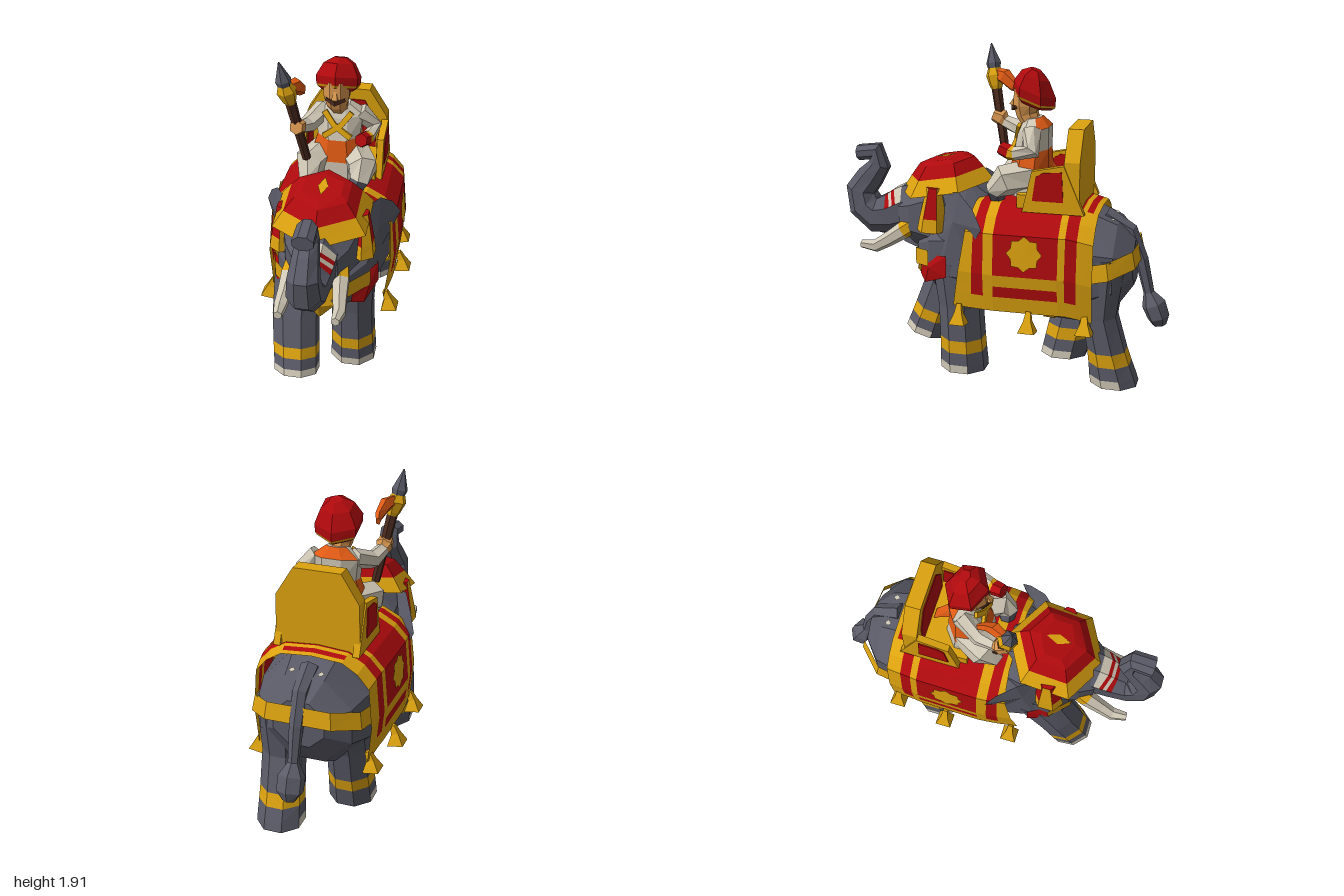
import * as THREE from 'three';

const mat = {};
for (const [name, color] of Object.entries({
  grey: 0x5a5b67, gold: 0xdca20f, red: 0xb00a0d, cream: 0xcfc7b5,
  orange: 0xdf5a14, skin: 0xd7954f, brown: 0x4a2a1e,
})) {
  mat[name] = new THREE.MeshStandardMaterial({ color, side: THREE.DoubleSide });
  mat[name].name = name;
}
const V = (a) => new THREE.Vector3(a[0], a[1], a[2]);

// Collects triangles by colour and makes one faceted mesh.
function facets() {
  const sets = {};
  const tri = (m, ...p) => (sets[m] ??= []).push(...p.flatMap((v) => v.toArray()));
  const quad = (m, a, b, c, d) => { tri(m, a, b, c); tri(m, a, c, d); };
  const mesh = (name) => {
    const g = new THREE.BufferGeometry(), keys = Object.keys(sets);
    let start = 0;
    keys.forEach((k, i) => {
      g.addGroup(start, sets[k].length / 3, i);
      start += sets[k].length / 3;
    });
    g.setAttribute('position', new THREE.Float32BufferAttribute(keys.flatMap((k) => sets[k]), 3));
    g.computeVertexNormals();
    const o = new THREE.Mesh(g, keys.map((k) => mat[k]));
    o.name = name;
    return o;
  };
  return { tri, quad, mesh };
}

// Faceted loft through sections [x, y, z, radiusU, radiusV]; color is a name or (segment, side) => name.
function tube(name, pts, color, sides = 8, axis = null, caps = true) {
  const f = facets(), col = typeof color === 'string' ? () => color : color;
  const k = 1 / Math.cos(Math.PI / sides), last = pts.length - 1;
  const rings = pts.map((p, i) => {
    const t = axis ? V(axis).normalize()
      : V(pts[Math.min(i + 1, last)]).sub(V(pts[Math.max(i - 1, 0)])).normalize();
    const u = Math.abs(t.x) > 0.85 ? V([0, 0, 1]) : V([1, 0, 0]);
    u.addScaledVector(t, -u.dot(t)).normalize();
    const v = t.clone().cross(u);
    return Array.from({ length: sides }, (_, j) => {
      const a = (2 * Math.PI * (j + 0.5)) / sides;
      return V(p).addScaledVector(u, Math.cos(a) * p[3] * k).addScaledVector(v, Math.sin(a) * (p[4] ?? p[3]) * k);
    });
  });
  for (let j = 0; j < sides; j++) {
    const n = (j + 1) % sides;
    for (let i = 0; i < last; i++) f.quad(col(i, j), rings[i][j], rings[i][n], rings[i + 1][n], rings[i + 1][j]);
    if (caps) {
      f.tri(col(0, -1), V(pts[0]), rings[0][n], rings[0][j]);
      f.tri(col(last, -1), V(pts[last]), rings[last][j], rings[last][n]);
    }
  }
  return f.mesh(name);
}

// Loft along z from rows [z, top, bottom, halfWidth].
const hull = (name, rows, color, caps = true) =>
  tube(name, rows.map(([z, t, b, w]) => [0, (t + b) / 2, z, w, (t - b) / 2]), color, 8, [0, 0, 1], caps);

// Fan of triangles round a centre.
function fan(name, centre, pts, color) {
  const f = facets();
  pts.forEach((p, i) => f.tri(color, V(centre), V(p), V(pts[(i + 1) % pts.length])));
  return f.mesh(name);
}

// Upright band following half a path, mirrored across x, its lower edge flared outward.
function ribbon(name, half, h, flare, color) {
  const path = [...half, ...half.slice(0, -1).reverse().map(([x, y, z]) => [-x, y, z])], f = facets();
  const at = (p, s) => V([p[0] * (1 - s * flare), p[1] + (s * h) / 2, p[2] * (1 - (s * flare) / 2)]);
  for (let i = 0; i + 1 < path.length; i++) {
    const a = path[i], b = path[i + 1];
    f.quad(color, at(a, -1), at(a, 1), at(b, 1), at(b, -1));
  }
  return f.mesh(name);
}

// Flat plate with thickness; 'side' plates take [z, y] points and face along x.
function plate(name, pts, depth, color, pos, side = false) {
  const s = new THREE.Shape(pts.map(([a, b]) => new THREE.Vector2(side ? -a : a, b)));
  const g = new THREE.ExtrudeGeometry(s, { depth, bevelEnabled: false }).translate(0, 0, -depth / 2);
  if (side) g.rotateY(Math.PI / 2);
  const o = new THREE.Mesh(g, mat[color]);
  o.name = name;
  o.position.set(...pos);
  return o;
}

// Leg with an anklet and toenails.
function leg(name, top, knee, foot, axis = [0, -1, 0]) {
  const mix = (t, s) => knee.map((v, i) => (i < 3 ? v + (foot[i] - v) * t : v + (foot[i] - v) * t * s));
  return tube(name, [top, knee, mix(0.5, 0.6), mix(0.69, 0.8), mix(0.88, 1), foot],
    (i, j) => (i === 2 ? 'gold' : i === 5 || (i === 4 && (j < 4 || j === 7)) ? 'cream' : 'grey'), 8, axis);
}

// Patterned saddle cloth: colours follow the cells of a grid draped over the back.
const taper = (z) => 1 - 0.6 * (z + 0.17) ** 2;
function saddleCloth() {
  const rows = [[0.37, 0.455], [0.38, 0.545], [0.387, 0.61], [0.395, 0.68], [0.375, 0.92], [0.3, 1.0], [0.2, 1.055], [0, 1.07]];
  const zs = [0.23, 0.115, 0.04, -0.02, -0.395, -0.435, -0.5, -0.525, -0.56, -0.59];
  const f = facets();
  const point = (s, r, c) => {
    const [x, y] = rows[r];
    const z = zs[c] - (c === 0 ? 0.17 : c === 1 ? 0.03 : 0) * (y - 0.46);
    return V([s * x * taper(z), y - 0.25 * Math.max(0, -z - 0.45), z]);
  };
  for (const s of [1, -1])
    for (let r = 0; r < 7; r++)
      for (let c = 0; c < 9; c++) {
        const red = c === 7 ? r === 6 : r > 0 && c % 2 === 1 && !(r === 2 && c === 3);
        const q = [point(s, r, c), point(s, r, c + 1), point(s, r + 1, c + 1), point(s, r + 1, c)];
        f.quad(red ? 'red' : 'gold', ...(s > 0 ? q : q.reverse()));
      }
  return f.mesh('saddleCloth');
}

export function createModel() {
  const g = new THREE.Group();
  g.name = 'elephantAndRider';
  const add = (...o) => g.add(...o);

  // Body and legs
  add(hull('body', [[-0.79, 0.85, 0.58, 0.15], [-0.69, 0.95, 0.44, 0.275], [-0.52, 1.02, 0.35, 0.32], [-0.2, 1.04, 0.37, 0.35],
    [0.15, 1.02, 0.44, 0.31], [0.4, 0.95, 0.47, 0.26], [0.5, 0.84, 0.56, 0.16]], 'grey'));
  add(leg('frontLeftLeg', [0.15, 0.68, 0.25, 0.14, 0.15], [0.155, 0.4, 0.235, 0.12, 0.125], [0.16, 0, 0.215, 0.132, 0.135]));
  add(leg('frontRightLeg', [-0.15, 0.66, 0.3, 0.14, 0.15], [-0.155, 0.42, 0.43, 0.13, 0.12], [-0.13, 0.09, 0.545, 0.125, 0.13], [0, -0.95, 0.28]));
  add(leg('backLeftLeg', [0.16, 0.78, -0.62, 0.14, 0.14], [0.165, 0.42, -0.61, 0.12, 0.1], [0.155, 0, -0.705, 0.13, 0.135]));
  add(leg('backRightLeg', [-0.16, 0.72, -0.52, 0.14, 0.18], [-0.165, 0.42, -0.43, 0.12, 0.14], [-0.16, 0.02, -0.34, 0.13, 0.138]));
  add(tube('tail', [[0, 0.97, -0.6, 0.05], [0, 0.89, -0.75, 0.04], [0, 0.72, -0.82, 0.035], [0, 0.52, -0.87, 0.028],
    [0, 0.45, -0.9, 0.068, 0.062], [0, 0.37, -0.932, 0.068, 0.057], [0, 0.32, -0.94, 0.035]], 'grey', 6));

  // Head, jaw and raised trunk with painted stripes
  add(hull('head', [[0.06, 1.05, 0.7, 0.19], [0.2, 1.15, 0.62, 0.23], [0.38, 1.23, 0.65, 0.23], [0.55, 1.1, 0.73, 0.18],
    [0.63, 1.04, 0.79, 0.13]], 'grey'));
  add(tube('jaw', [[0, 0.75, 0.42, 0.11, 0.09], [0, 0.74, 0.55, 0.08, 0.05], [0, 0.74, 0.63, 0.04, 0.03]], 'grey', 6));
  add(tube('trunk', [[0, 0.95, 0.5, 0.14, 0.15], [0, 0.935, 0.61, 0.125, 0.14], [0, 0.925, 0.633, 0.122, 0.135],
    [0, 0.915, 0.656, 0.119, 0.13], [0, 0.905, 0.68, 0.115, 0.125], [0, 0.89, 0.72, 0.11, 0.12], [0, 0.875, 0.82, 0.1, 0.11],
    [0, 0.93, 0.89, 0.095, 0.1], [0, 1.03, 0.91, 0.085, 0.09], [0, 1.11, 0.85, 0.072, 0.08], [0, 1.19, 0.79, 0.062, 0.065],
    [0, 1.27, 0.805, 0.055, 0.055], [0, 1.255, 0.92, 0.058, 0.045]],
  (i, j) => (i > 0 && i < 5 && j >= 0 && j < 3 ? (i % 2 ? 'cream' : 'red') : 'grey')));

  // Headdress, pointed at the front, with a medallion on the crown
  add(tube('headdress', [[0, 1.265, 0.36, 0.11, 0.09], [0, 1.245, 0.36, 0.15, 0.15], [0, 1.175, 0.36, 0.205, 0.2], [0, 1.09, 0.36, 0.265, 0.255]],
    (i) => (i === 2 ? 'gold' : 'red'), 6, [0, -1, -0.18]));
  add(fan('medallion', [0, 1.27, 0.36], [[-0.03, 1.27, 0.36], [0, 1.26, 0.44], [0.03, 1.27, 0.36], [0, 1.285, 0.29]], 'gold'));

  for (const s of [1, -1]) {
    const m = (list) => list.map(([x, ...r]) => [s * x, ...r]);
    const n = s > 0 ? 'left' : 'right';
    // Ears: two shallow fans back to back
    const ear = m([[0.2, 1.1, 0.32], [0.3, 1.13, 0.2], [0.36, 1.05, 0.1], [0.4, 0.95, 0.04], [0.31, 0.77, 0.15], [0.28, 0.63, 0.33], [0.23, 0.72, 0.4]]);
    add(fan(n + 'EarFront', [s * 0.3, 0.95, 0.24], s > 0 ? [...ear].reverse() : ear, 'grey'));
    add(fan(n + 'EarBack', [s * 0.27, 0.95, 0.16], s > 0 ? ear : [...ear].reverse(), 'grey'));
    add(tube(n + 'EarTassel', m([[0.23, 1.13, 0.37, 0.03, 0.04], [0.235, 0.95, 0.38, 0.055, 0.07], [0.235, 0.87, 0.385, 0.065, 0.08]]),
      (i, j) => (i === 0 && j % 2 ? 'red' : 'gold'), 6, [0, -1, 0]));
    // Tusks with a gold collar
    add(tube(n + 'Tusk', m([[0.13, 0.87, 0.53, 0.045], [0.145, 0.825, 0.6, 0.045], [0.155, 0.765, 0.69, 0.038],
      [0.165, 0.72, 0.77, 0.034], [0.16, 0.725, 0.86, 0.022]]), (i) => (i === 0 ? 'gold' : 'cream'), 6));
    // Cloth flower
    const petals = Array.from({ length: 16 }, (_, i) => {
      const a = (s * i * Math.PI) / 8, r = i % 2 ? 0.084 : 0.104;
      return [0.82 + r * Math.sin(a), -0.205 - r * Math.cos(a)];
    });
    const onCloth = ([y, z]) => [s * ((0.395 - 0.083 * (y - 0.68)) * taper(z) + 0.006), y, z];
    add(fan(n + 'ClothFlower', onCloth([0.82, -0.205]), petals.map(onCloth), 'gold'));
    // Tassels on the lower hem
    for (const [x, z] of [[0.34, 0.19], [0.365, -0.23], [0.32, -0.55]])
      add(tube(n + 'HemTassel', m([[x, 0.47, z, 0.014], [x + 0.02, 0.42, z, 0.022], [x + 0.03, 0.355, z, 0.048]]), 'gold', 4));
    // Red chest cloths
    add(fan(n + 'ChestCloth', [s * 0.275, 0.65, 0.4], m([[0.31, 0.74, 0.28], [0.2, 0.71, 0.46], [0.18, 0.58, 0.48], [0.25, 0.55, 0.43], [0.31, 0.61, 0.28]]), 'red'));
    // Seat sides with red panels
    add(plate(n + 'SeatSide', [[-0.16, 1.03], [-0.215, 1.27], [-0.4, 1.31], [-0.52, 1.03]], 0.04, 'gold', [s * 0.235, 0, 0], true));
    add(plate(n + 'SeatPanel', [[-0.22, 1.1], [-0.24, 1.24], [-0.28, 1.265], [-0.39, 1.275], [-0.4, 1.1]], 0.052, 'red', [s * 0.235, 0, 0], true));
    // Painted spots on the rump
    add(fan(n + 'RumpSpot', [s * 0.085, 0.972, -0.66], m([[0.065, 0.972, -0.66], [0.085, 0.978, -0.64], [0.105, 0.972, -0.66], [0.085, 0.966, -0.68]]), 'cream'));
  }

  // Cloth and harness
  add(saddleCloth());
  add(ribbon('chestStrap', [[0.28, 0.71, 0.4], [0.16, 0.68, 0.515], [0, 0.64, 0.53]], 0.1, 0, 'gold'));
  add(fan('chestPendant', [0, 0.57, 0.55], [[-0.1, 0.58, 0.525], [0, 0.46, 0.5], [0.1, 0.58, 0.525], [0, 0.69, 0.53]], 'gold'));
  add(ribbon('rumpStrap', [[0.335, 0.7, -0.52], [0.32, 0.73, -0.67], [0.19, 0.77, -0.8], [0, 0.78, -0.815]], 0.1, 0.025, 'gold'));
  add(hull('frontGirth', [[-0.07, 1.04, 0.39, 0.345], [0.02, 1.03, 0.405, 0.335]], 'gold', false));
  add(hull('backGirth', [[-0.34, 1.03, 0.355, 0.345], [-0.27, 1.035, 0.36, 0.352]], 'gold', false));

  // Seat
  add(plate('seatBack', [[-0.25, 1.03], [0.25, 1.03], [0.245, 1.33], [0.14, 1.5], [-0.14, 1.5], [-0.245, 1.33]], 0.09, 'gold', [0, 0, -0.445]));
  add(plate('seatBackPanel', [[-0.18, 1.12], [0.18, 1.12], [0.18, 1.29], [0.11, 1.43], [-0.11, 1.43], [-0.18, 1.29]], 0.008, 'red', [0, 0, -0.398]));
  add(plate('cushion', [[-0.22, 1.04], [0.22, 1.04], [0.22, 1.12], [-0.22, 1.12]], 0.3, 'gold', [0, 0, -0.27]));

  // Rider: hips, sash, torso, collar and straps
  add(tube('torso', [[0, 1.1, -0.16, 0.17, 0.13], [0, 1.21, -0.155, 0.165, 0.12], [0, 1.34, -0.165, 0.125, 0.105],
    [0, 1.47, -0.18, 0.14, 0.09], [0, 1.53, -0.17, 0.06, 0.05]],
  (i, j) => (i === 1 || (i === 3 && j >= 0 && j < 3) ? 'orange' : 'cream'), 8, [0, 0.97, 0.15]));
  add(fan('sashTail', [0, 1.2, -0.31], [[-0.05, 1.27, -0.27], [0.05, 1.27, -0.27], [0.03, 1.13, -0.38], [-0.03, 1.13, -0.38]], 'orange'));
  for (const s of [1, -1]) {
    add(tube('chestBand', [[s * 0.08, 1.495, -0.1, 0.016, 0.01], [s * 0.02, 1.42, -0.073, 0.016, 0.01], [s * -0.08, 1.35, -0.06, 0.016, 0.01]], 'gold', 4));
    add(tube('riderLeg', [[s * 0.08, 1.2, -0.17, 0.085], [s * 0.16, 1.18, -0.03, 0.08], [s * 0.15, 1.12, 0.02, 0.055], [s * 0.12, 1.06, 0.02, 0.04]],
      (i) => (i < 2 ? 'cream' : 'grey'), 6));
  }
  add(tube('leftArm', [[0.11, 1.47, -0.18, 0.05], [0.2, 1.37, -0.2, 0.045], [0.18, 1.35, -0.1, 0.035], [0.165, 1.35, -0.07, 0.04], [0.15, 1.37, -0.01, 0.035]],
    (i) => ['cream', 'cream', 'gold', 'red', 'red'][i], 6));
  add(tube('rightArm', [[-0.1, 1.47, -0.18, 0.05], [-0.17, 1.42, -0.05, 0.045], [-0.195, 1.45, 0.05, 0.035], [-0.2, 1.47, 0.07, 0.045], [-0.2, 1.49, 0.125, 0.035]],
    (i) => (i < 2 ? 'cream' : 'skin'), 6));

  // Rider: head and turban
  add(tube('face', [[0, 1.49, -0.16, 0.05], [-0.01, 1.54, -0.13, 0.06], [-0.01, 1.6, -0.125, 0.075], [-0.01, 1.69, -0.13, 0.075]], 'skin'));
  add(tube('nose', [[-0.01, 1.64, -0.06, 0.008], [-0.01, 1.6, -0.042, 0.018], [-0.01, 1.59, -0.055, 0.012]], 'skin', 4));
  add(tube('moustache', [[-0.065, 1.59, -0.07, 0.008], [-0.01, 1.575, -0.045, 0.014], [0.045, 1.59, -0.07, 0.008]], 'brown', 4));
  add(tube('turban', [[-0.01, 1.605, -0.165, 0.09, 0.09], [-0.01, 1.625, -0.168, 0.11, 0.11], [-0.01, 1.64, -0.168, 0.118, 0.115],
    [-0.01, 1.69, -0.17, 0.122, 0.115], [-0.005, 1.77, -0.175, 0.085, 0.075], [0, 1.805, -0.18, 0.035, 0.03]],
  (i) => (i === 1 ? 'gold' : 'red'), 6, [0, 0.95, -0.36]));

  // Spear with collar, point and pennant
  add(tube('spear', [[-0.16, 1.25, 0.04, 0.022], [-0.23, 1.64, 0.115, 0.028], [-0.235, 1.66, 0.12, 0.036], [-0.25, 1.72, 0.13, 0.05],
    [-0.258, 1.76, 0.139, 0.034], [-0.264, 1.79, 0.144, 0.04], [-0.282, 1.905, 0.162, 0.003]],
  (i) => (i < 1 ? 'brown' : i < 4 ? 'gold' : 'grey'), 6, [-0.17, 0.96, 0.17]));
  add(tube('pennant', [[-0.25, 1.73, 0.13, 0.02, 0.03], [-0.21, 1.72, 0.06, 0.03, 0.04], [-0.19, 1.67, 0.0, 0.02, 0.03], [-0.2, 1.655, -0.05, 0.012, 0.02]], 'orange', 5));
  return g;
}
